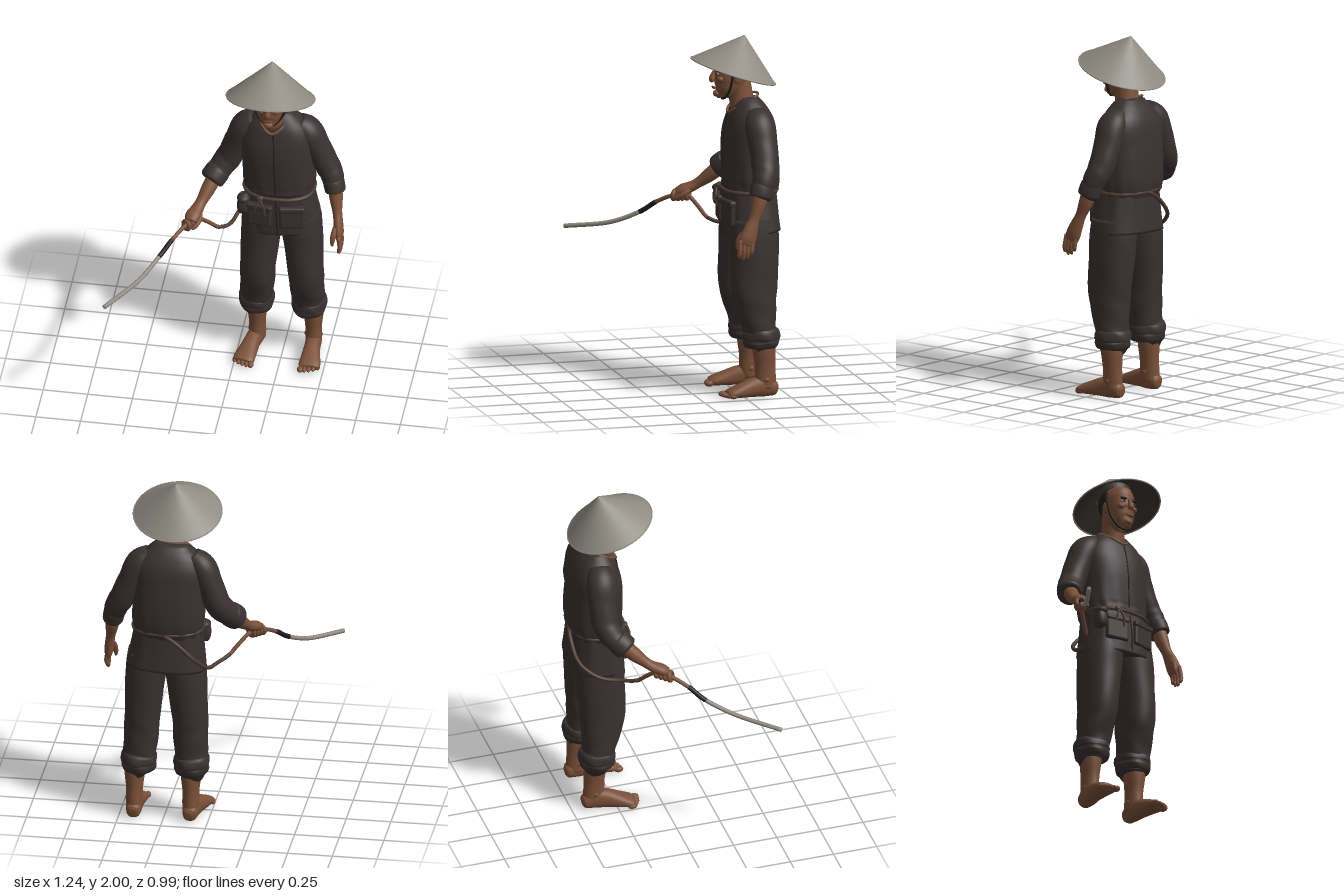
import * as THREE from 'three';
import { RoundedBoxGeometry } from 'three/addons/geometries/RoundedBoxGeometry.js';

const V = (x, y, z) => new THREE.Vector3(x, y, z);
const flat = (name, color, side = THREE.FrontSide) => {
  const m = new THREE.MeshStandardMaterial({ color, side });
  m.name = name;
  return m;
};

// Smooth closed skin through rings [x, y, z, radiusAcross, radiusDeep];
// p squares the rings off, fold(angle, t) scales their radius.
function loft(rings, { p = 2, seg = 24, sub = 5, fold = () => 1 } = {}) {
  const path = new THREE.CatmullRomCurve3(rings.map(r => V(r[0], r[1], r[2])), false, 'catmullrom');
  const size = new THREE.CatmullRomCurve3(rings.map(r => V(r[3], r[4] ?? r[3], 0)), false, 'catmullrom');
  const n = (rings.length - 1) * sub, pos = [], idx = [];
  const pw = v => Math.sign(v) * Math.abs(v) ** (2 / p);
  for (let i = 0; i <= n; i++) {
    const t = i / n, c = path.getPoint(t), s = size.getPoint(t), T = path.getTangent(t);
    const u = V(1, 0, 0).addScaledVector(T, -T.x).normalize(), v = T.clone().cross(u);
    for (let j = 0; j < seg; j++) {
      const a = j / seg * Math.PI * 2, f = fold(a, t);
      const q = c.clone().addScaledVector(u, pw(Math.cos(a)) * s.x * f).addScaledVector(v, pw(Math.sin(a)) * s.y * f);
      pos.push(q.x, q.y, q.z);
      if (i < n) {
        const k = i * seg + j, l = i * seg + (j + 1) % seg;
        idx.push(k, l, l + seg, k, l + seg, k + seg);
      }
    }
  }
  const c0 = pos.length / 3, a = path.getPoint(0), b = path.getPoint(1);
  pos.push(a.x, a.y, a.z, b.x, b.y, b.z);
  for (let j = 0; j < seg; j++) {
    const k = (j + 1) % seg;
    idx.push(c0, k, j, c0 + 1, n * seg + j, n * seg + k);
  }
  const g = new THREE.BufferGeometry();
  g.setAttribute('position', new THREE.Float32BufferAttribute(pos, 3));
  g.setIndex(idx);
  g.computeVertexNormals();
  return g;
}

const tube = (pts, r, closed = false) =>
  new THREE.TubeGeometry(new THREE.CatmullRomCurve3(pts.map(q => V(...q)), closed), 48, r, 8, closed);
const ball = (x, y, z, rx, ry = rx, rz = rx) =>
  new THREE.SphereGeometry(1, 20, 14).scale(rx, ry, rz).translate(x, y, z);

export function createModel() {
  const model = new THREE.Group();
  model.name = 'farmer';
  const cloth = flat('dark cloth', 0x3a3031), seam = flat('seam', 0x211b1b), skin = flat('skin', 0x7a5038);
  const straw = flat('grey straw', 0x8f8b82), lining = flat('hat lining', 0x3b352f, THREE.DoubleSide);
  const hair = flat('hair', 0x231d1a), cord = flat('cord', 0x4b3a32), wood = flat('worn wood', 0x75503d);
  const eyeWhite = flat('eye', 0x9a8a7c), lip = flat('lips', 0x64392d);
  const add = (name, geo, mat, parent = model) => {
    const m = new THREE.Mesh(geo, mat);
    m.name = name;
    parent.add(m);
    return m;
  };

  // Jacket: body above the belt, flared skirt below it
  add('jacketBody', loft([
    [.232, 1.13, -.325, .188, .143], [.23, 1.2, -.338, .2, .151], [.226, 1.3, -.337, .2, .152],
    [.222, 1.4, -.333, .2, .148], [.218, 1.5, -.335, .2, .135], [.213, 1.57, -.333, .17, .112],
    [.21, 1.62, -.333, .125, .083], [.207, 1.655, -.335, .082, .052]
  ], { p: 2.4, seg: 64, fold: (a, t) => 1 + .018 * Math.sin(a * 13 + t * 5) * Math.max(0, 1 - t * 2.2) }), cloth);
  add('jacketSkirt', loft([
    [.232, 1.155, -.325, .188, .143], [.236, 1.06, -.326, .2, .15], [.24, .98, -.328, .212, .154], [.243, .912, -.332, .222, .157]
  ], { p: 2.5, seg: 64, fold: (a, t) => 1 + .014 * Math.sin(a * 11) * (1 - t * .6) }), cloth);
  add('frontSeam', tube([[.214, 1.565, -.212], [.218, 1.5, -.199], [.221, 1.4, -.185], [.225, 1.3, -.184], [.23, 1.18, -.187]], .004), seam);
  add('skirtSeam', tube([[.232, 1.13, -.182], [.238, 1.03, -.174], [.243, .915, -.174]], .004), seam);
  add('collar', tube([[.205, 1.572, -.214], [.255, 1.598, -.236], [.29, 1.64, -.31], [.25, 1.667, -.372],
    [.207, 1.672, -.386], [.164, 1.667, -.372], [.125, 1.64, -.31], [.155, 1.598, -.236]], .007, true), wood);

  // Belt cord with knot and hanging ends
  const belt = [];
  for (let i = 0; i < 24; i++) {
    const a = i / 24 * Math.PI * 2, q = v => Math.sign(v) * Math.abs(v) ** (2 / 2.4);
    belt.push([.232 + .194 * q(Math.cos(a)), 1.148, -.326 + .149 * q(Math.sin(a))]);
  }
  add('belt', tube(belt, .011, true), cord);
  add('beltKnot', ball(.145, 1.145, -.178, .022, .018, .016), cord);
  for (const [dx, y] of [[-.03, 1.06], [.03, 1.04]])
    add('beltEnd', tube([[.145, 1.145, -.17], [.145 + dx * .7, 1.1, -.158], [.145 + dx, y, -.162]], .007), cord);

  // Patch pockets with flaps, and the hip pouch
  for (const s of [-1, 1]) {
    const pocket = new THREE.Group();
    pocket.name = s < 0 ? 'rightPocket' : 'leftPocket';
    pocket.position.set(.232 + s * .09, 1.03, -.186);
    pocket.rotation.y = s * .16;
    add('pocketBag', new RoundedBoxGeometry(.14, .14, .034, 4, .015), cloth, pocket);
    add('pocketFlap', new RoundedBoxGeometry(.146, .034, .042, 4, .012).translate(0, .056, .002), cloth, pocket);
    model.add(pocket);
  }
  add('pouch', loft([[.05, 1.14, -.225, .022, .02], [.05, 1.12, -.22, .03, .032], [.047, 1.07, -.215, .036, .04],
    [.048, 1.03, -.215, .03, .034], [.05, 1.018, -.215, .012, .014]], { p: 2.6 }), cloth);
  add('pouchFlap', ball(.048, 1.115, -.214, .037, .026, .043), cloth);

  // Trousers, rolled cuffs, shins and bare feet
  for (const s of [-1, 1]) {
    const side = s < 0 ? 'right' : 'left', X = d => .2455 + s * d;
    add(side + 'TrouserLeg', loft([
      [X(.1), .99, -.325, .11, .13], [X(.109), .9, -.325, .113, .137], [X(.12), .78, -.324, .108, .135], [X(.133), .6, -.318, .098, .128],
      [X(.137), .5, -.328, .096, .113], [X(.143), .4, -.342, .092, .094], [X(.146), .33, -.352, .088, .09]
    ], { p: 2.2, seg: 40, fold: (a, t) => 1 + .022 * Math.sin(a * 3 + t * 24 * s) * t }), cloth);
    add(side + 'RolledCuff', loft([
      [X(.146), .378, -.351, .082, .084], [X(.147), .365, -.352, .097, .1], [X(.147), .335, -.354, .1, .105],
      [X(.147), .322, -.354, .095, .1], [X(.147), .305, -.355, .097, .101], [X(.148), .278, -.356, .086, .09], [X(.148), .274, -.356, .06, .06]
    ], { seg: 40, fold: (a, t) => 1 + .025 * Math.sin(a * 5 + t * 6) }), cloth);
    const ax = s < 0 ? .1 : .415, tx = s < 0 ? .052 : .423, fx = k => ax + (tx - ax) * k;
    add(side + 'Shin', loft([[ax, .33, -.362, .06, .066], [ax, .25, -.366, .056, .064], [ax, .17, -.37, .047, .058],
      [ax, .1, -.372, .046, .06], [ax, .05, -.375, .046, .058]]), skin);
    add(side + 'Foot', loft([
      [ax, .04, -.441, .018, .022], [ax, .043, -.425, .038, .04], [fx(.1), .056, -.37, .044, .056], [fx(.35), .055, -.31, .044, .054],
      [fx(.65), .042, -.24, .052, .041], [fx(.9), .03, -.18, .06, .028], [fx(1), .023, -.152, .053, .019]
    ], { p: 2.3 }), skin);
    for (let i = 0; i < 5; i++)
      add(side + 'Toe', ball(fx(1) + s * (i - 2) * .0235, .019, -.14 - i * i * .0022, i ? .0125 : .017, i ? .014 : .017, .026), skin);
    for (const k of [-1, 1]) add(side + 'AnkleBone', ball(ax + k * .039, .1, -.37, .012, .016, .016), skin);
  }

  // Sleeves with rolled ends
  const crease = { seg: 32, fold: (a, t) => 1 + .022 * Math.sin(a * 2 + t * 30) * t };
  add('rightSleeve', loft([[.1, 1.585, -.338, .05, .06], [.04, 1.525, -.345, .075, .085], [-.005, 1.42, -.352, .072, .08],
    [-.045, 1.31, -.35, .073, .074], [-.085, 1.25, -.325, .07, .068], [-.125, 1.2, -.275, .06, .06]], crease), cloth);
  add('leftSleeve', loft([[.33, 1.585, -.338, .05, .06], [.39, 1.525, -.345, .075, .085], [.438, 1.42, -.352, .072, .08],
    [.488, 1.31, -.35, .07, .074], [.52, 1.25, -.338, .066, .068], [.542, 1.18, -.315, .054, .06]], crease), cloth);
  add('rightSleeveCuff', loft([[-.1, 1.232, -.305, .06], [-.107, 1.224, -.297, .07], [-.127, 1.2, -.272, .071],
    [-.14, 1.185, -.256, .066], [-.144, 1.18, -.251, .044]], { seg: 32 }), cloth);
  add('leftSleeveCuff', loft([[.53, 1.225, -.327, .048, .055], [.532, 1.215, -.325, .058, .066], [.541, 1.18, -.315, .059, .067],
    [.546, 1.153, -.308, .055, .063], [.547, 1.147, -.306, .036, .04]], { seg: 32 }), cloth);

  // Left forearm and relaxed hand
  add('leftForearm', loft([[.54, 1.21, -.318, .04], [.552, 1.12, -.296, .038, .041], [.564, 1.04, -.267, .027, .031], [.573, .985, -.246, .026, .04],
    [.58, .93, -.226, .026, .047], [.584, .895, -.216, .018, .042]]), skin);
  for (let i = 0; i < 4; i++) {
    const z = -.182 - i * .023, len = [.075, .088, .083, .062][i];
    add('leftFinger', loft([[.583, .925, z, .013], [.592, .9 - len * .45, z + .006, .013], [.588, .9 - len * .85, z + .01, .011], [.583, .9 - len, z + .01, .005]], { seg: 12 }), skin);
  }
  add('leftThumb', loft([[.57, .985, -.235, .016], [.556, .94, -.19, .016], [.55, .895, -.174, .013], [.551, .87, -.172, .006]], { seg: 12 }), skin);

  // Right forearm and fist closed round the staff
  add('rightForearm', loft([[-.115, 1.215, -.285, .042], [-.15, 1.15, -.22, .04], [-.18, 1.1, -.16, .031, .029], [-.197, 1.075, -.122, .036, .029],
    [-.214, 1.058, -.078, .043, .03], [-.222, 1.04, -.045, .034, .024]]), skin);
  const grip = V(.6, -.12, -.78).normalize();
  for (let i = 0; i < 4; i++) {
    const f = add('rightFinger', new THREE.TorusGeometry(.024, .0125, 10, 20), skin);
    f.quaternion.setFromUnitVectors(V(0, 0, 1), grip);
    f.position.set(-.243 + i * .016, 1.022 + i * .003, -.035 - i * .021);
  }
  add('rightThumb', loft([[-.185, 1.07, -.115, .018], [-.178, 1.04, -.075, .016], [-.195, 1.015, -.04, .013], [-.21, 1.005, -.022, .006]], { seg: 12 }), skin);

  // Long curved rod running from the fist round the hip to the back of the belt
  const rod = [[-.62, .8, .49], [-.465, .84, .28], [-.37, .91, .13], [-.31, .975, .05], [-.25, 1.02, -.03], [-.2, 1.035, -.09], [-.13, .97, -.145],
    [-.085, .92, -.18], [-.03, .9, -.25], [.005, .92, -.37], [.06, 1, -.468], [.16, 1.1, -.487], [.24, 1.15, -.475]];
  const line = new THREE.CatmullRomCurve3(rod.map(q => V(...q)), false, 'catmullrom');
  for (const [name, a, b, r, mat] of [['rodTip', 0, 2, .0125, straw], ['rodBinding', 2, 3, .0135, seam],
    ['rodGrip', 3, 7, .0115, wood], ['rodTail', 7, 12, .011, cord]]) {
    const rings = [];
    for (let i = 0; i <= 12; i++) rings.push([...line.getPoint((a + (b - a) * i / 12) / 12).toArray(), r]);
    add(name, loft(rings, { seg: 10, sub: 2 }), mat);
  }

  // Head, neck and face
  const hx = .195;
  add('neck', loft([[.205, 1.54, -.3, .07, .06], [.204, 1.6, -.3, .07, .068], [.2, 1.66, -.292, .063, .068], [hx, 1.75, -.275, .062, .07]]), skin);
  add('head', loft([[hx, 1.657, -.185, .015, .018], [hx, 1.668, -.186, .036, .042], [hx, 1.695, -.205, .059, .068], [hx, 1.74, -.228, .074, .092],
    [hx, 1.79, -.24, .08, .1], [hx, 1.84, -.25, .08, .105], [hx, 1.89, -.25, .063, .088], [hx, 1.915, -.25, .02, .03]], { p: 2.2, seg: 32 }), skin);
  add('hair', ball(hx, 1.83, -.275, .085, .095, .098), hair);
  add('nose', loft([[hx, 1.818, -.147, .008], [hx, 1.79, -.137, .012, .014], [hx, 1.762, -.128, .018, .018], [hx, 1.75, -.136, .014, .012]], { seg: 16 }), skin);
  add('mouth', ball(hx, 1.714, -.137, .027, .007, .008), lip);
  add('chin', ball(hx, 1.68, -.152, .026, .018, .018), skin);
  for (const s of [-1, 1]) {
    add('ear', ball(hx + s * .084, 1.775, -.25, .011, .034, .022), skin);
    add('cheek', ball(hx + s * .043, 1.768, -.163, .024, .018, .02), skin);
    add('brow', ball(hx + s * .035, 1.815, -.149, .024, .008, .01), hair);
    add('eye', ball(hx + s * .034, 1.797, -.152, .015, .007, .009), eyeWhite);
    add('pupil', ball(hx + s * .034, 1.797, -.144, .006, .0065, .003), hair);
  }
  add('chinStrap', tube([[.098, 1.865, -.225], [.1, 1.79, -.22], [.118, 1.72, -.212], [.16, 1.662, -.195], [hx, 1.65, -.185],
    [.23, 1.662, -.195], [.272, 1.72, -.212], [.29, 1.79, -.22], [.292, 1.865, -.225]], .007), hair);

  // Conical hat tipped back
  const hat = new THREE.Group();
  hat.name = 'hat';
  hat.position.set(.193, 1.8, -.25);
  hat.rotation.x = -.32;
  add('hatCone', new THREE.ConeGeometry(.247, .211, 72, 4, true).translate(0, .1055, 0), straw, hat);
  add('hatLining', new THREE.ConeGeometry(.243, .202, 72, 1, true).translate(0, .1, 0), lining, hat);
  add('hatRim', new THREE.TorusGeometry(.245, .004, 8, 72).rotateX(Math.PI / 2), straw, hat);
  add('hatBand', new THREE.CylinderGeometry(.1, .1, .035, 32, 1, true).translate(0, .085, 0), lining, hat);
  model.add(hat);
  return model;
}
